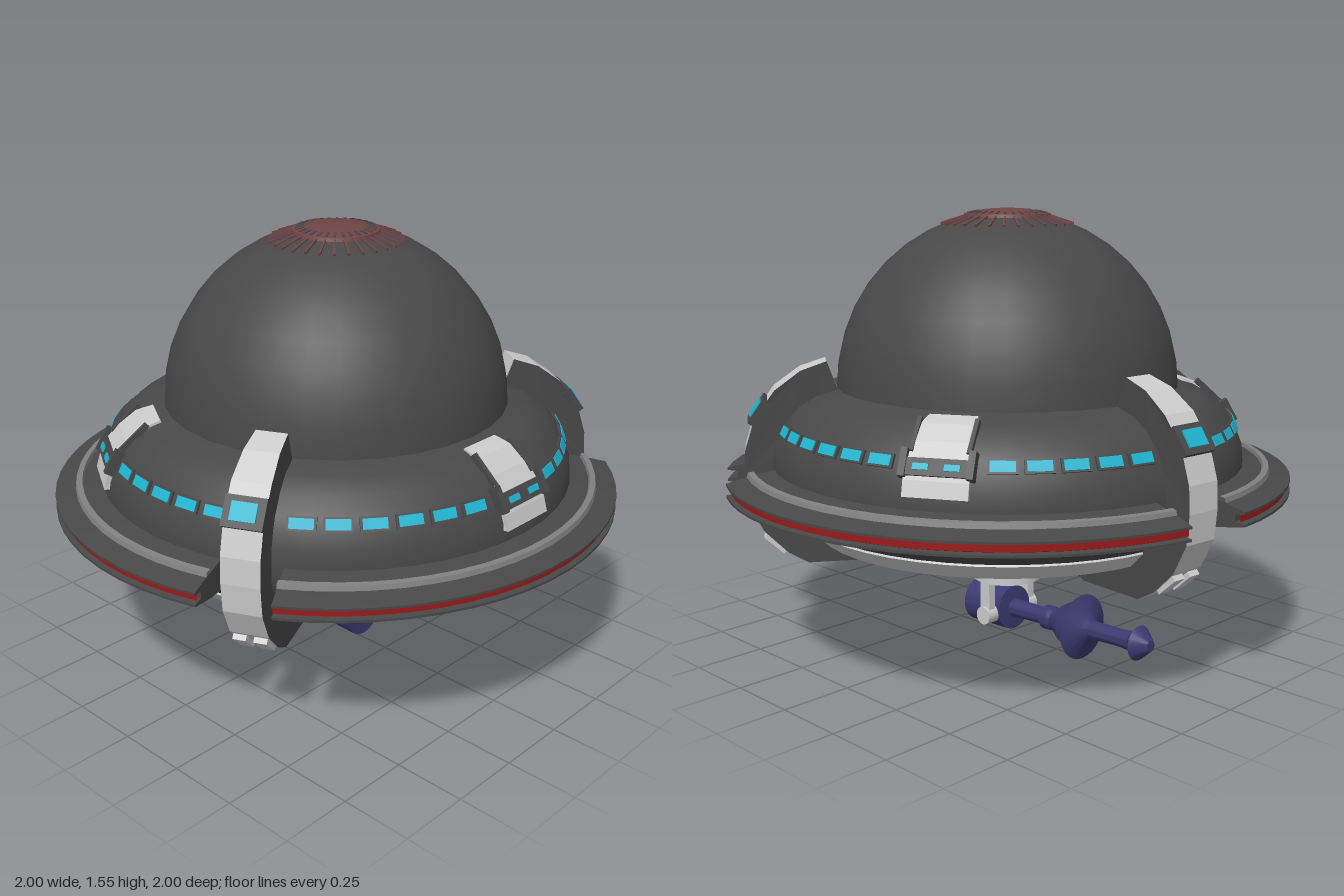
import * as THREE from 'three';
import { toCreasedNormals } from 'three/addons/utils/BufferGeometryUtils.js';

const rad = THREE.MathUtils.degToRad;
const paint = (color) => new THREE.MeshStandardMaterial({ color });
const light = paint(0xcccccc);
const dark = paint(0x484848);
const mid = paint(0x808080);
const cyan = paint(0x1fb5d0);
const red = paint(0x991a1a);
const rust = paint(0x6e4444);
const navy = paint(0x3c3a70);

const vec = (pts) => pts.map(([x, y]) => new THREE.Vector2(x, y));

function add(parent, name, geo, mat, x = 0, y = 0, z = 0) {
  const m = new THREE.Mesh(geo, mat);
  m.name = name;
  m.position.set(x, y, z);
  parent.add(m);
  return m;
}

// Lathe with sharp edges kept; angles are measured from +z towards +x
function lathe(pts, segs, start = 0, len = 360) {
  return toCreasedNormals(new THREE.LatheGeometry(vec(pts), segs, rad(start), rad(len)), 0.6);
}

// Group turned so that its +z points outwards at the given angle
function spoke(parent, name, angle) {
  const g = new THREE.Group();
  g.name = name;
  g.rotation.y = rad(angle);
  parent.add(g);
  return g;
}

// Box lying on the hull inside a spoke, tilted to face upwards
function plate(parent, name, [w, h, d], mat, r, y, tilt, x = 0) {
  const m = add(parent, name, new THREE.BoxGeometry(w, h, d), mat, x, y, r);
  m.rotation.x = -rad(tilt);
  return m;
}

// Side outline (radius, height) extruded across a spoke
function slab(parent, name, pts, width, mats, taper = (r, y) => 1) {
  const geo = new THREE.ExtrudeGeometry(new THREE.Shape(vec(pts)), { depth: width, bevelEnabled: false });
  geo.translate(0, 0, -width / 2);
  const p = geo.attributes.position;
  for (let i = 0; i < p.count; i++) p.setZ(i, p.getZ(i) * taper(p.getX(i), p.getY(i)));
  geo.rotateY(-Math.PI / 2);
  geo.computeVertexNormals();
  return add(parent, name, geo, mats);
}

function buildHull(g) {
  add(g, 'hull', lathe([[0.42, 0.5], [0.5, 0.49], [0.58, 0.46], [0.62, 0.44], [0.68, 0.44],
    [0.7, 0.46], [0.77, 0.53], [0.82, 0.58], [0.84, 0.63], [0.835, 0.7], [0.83, 0.75],
    [0.81, 0.8], [0.79, 0.84], [0.74, 0.895], [0.68, 0.93], [0.6, 0.952]], 48), dark);
  add(g, 'bellyDisc', lathe([[0, 0.5], [0.43, 0.5]], 48), mid);
  add(g, 'bellyBand', lathe([[0.66, 0.437], [0.69, 0.44], [0.745, 0.495], [0.735, 0.51]], 48), light);

  // Dome
  const dome = [];
  for (let i = 0; i <= 10; i++) {
    const a = (i / 10) * Math.PI / 2;
    dome.push([0.605 * Math.cos(a), 0.945 + 0.61 * Math.sin(a)]);
  }
  add(g, 'dome', new THREE.LatheGeometry(vec(dome), 32), dark);

  // Rust cap with radiating spikes
  add(g, 'domeCap', lathe([[0.155, 1.53], [0.15, 1.545], [0.08, 1.56], [0, 1.565]], 30), rust);
  for (let i = 0; i < 30; i++) {
    const s = spoke(g, 'capSpike', i * 12);
    plate(s, 'spike', [0.007, 0.1, 0.008], rust, 0.185, 1.526, 72);
    plate(s, 'capSlot', [0.008, 0.03, 0.004], dark, 0.125, 1.551, 78);
  }
}

// One of three rim segments, closed at both ends
function buildRim(g, start, len) {
  const rim = new THREE.Group();
  rim.name = 'rimSegment';
  g.add(rim);
  const profile = [[0.82, 0.585], [0.9, 0.585], [1, 0.602], [1, 0.61], [0.965, 0.614],
    [0.965, 0.638], [1, 0.642], [1, 0.65], [0.93, 0.668], [0.82, 0.69]];
  add(rim, 'rim', lathe(profile, 18, start, len), dark);
  add(rim, 'rimStripe', lathe([[0.975, 0.612], [0.985, 0.616], [0.985, 0.638], [0.975, 0.64]], 18, start, len), red);
  add(rim, 'rimUpperLip', lathe([[0.93, 0.666], [0.925, 0.684], [0.905, 0.686], [0.9, 0.67]], 18, start, len), mid);
  add(rim, 'rimLowerLip', lathe([[0.86, 0.58], [0.875, 0.575], [0.89, 0.59]], 18, start, len), light);
  const capMat = dark.clone();
  capMat.side = THREE.DoubleSide;
  for (const a of [start, start + len]) {
    const cap = add(rim, 'rimEnd', new THREE.ShapeGeometry(new THREE.Shape(vec(profile))), capMat);
    cap.rotation.y = rad(a - 90);
  }
}

// Large clamp arm wrapping the hull from dome to belly
function buildArm(g, angle) {
  const arm = spoke(g, 'clampArm', angle);
  slab(arm, 'armBody', [[0.6, 0.94], [0.64, 1.05], [0.73, 1.02], [0.82, 0.955], [0.89, 0.86],
    [0.925, 0.75], [0.93, 0.66], [0.92, 0.56], [0.87, 0.46], [0.79, 0.38], [0.72, 0.34],
    [0.47, 0.34], [0.4, 0.375], [0.45, 0.45], [0.66, 0.46], [0.77, 0.55], [0.82, 0.63],
    [0.81, 0.74], [0.76, 0.85], [0.68, 0.92]].reverse(), 0.13, [dark, light],
  (r, y) => (y > 0.7 ? THREE.MathUtils.clamp(0.8 + (r - 0.62), 0.8, 1) : 1));
  plate(arm, 'armWindowFrame', [0.135, 0.1, 0.03], dark, 0.873, 0.878, 35);
  plate(arm, 'armWindow', [0.085, 0.06, 0.03], cyan, 0.878, 0.882, 35);
  for (const s of [-1, 1]) plate(arm, 'armPad', [0.045, 0.09, 0.04], light, 0.825, 0.42, -48, s * 0.035);
}

// Small hatch set on the shoulder of the hull
function buildHatch(g, angle) {
  const hatch = spoke(g, 'hatch', angle);
  slab(hatch, 'hatchPanel', [[0.63, 0.93], [0.64, 0.948], [0.7, 0.932], [0.76, 0.888], [0.805, 0.835],
    [0.83, 0.78], [0.845, 0.73], [0.8, 0.725], [0.74, 0.84]].reverse(), 0.21, light,
  (r) => THREE.MathUtils.clamp(0.75 + (r - 0.64) * 1.4, 0.75, 1));
  plate(hatch, 'hatchBar', [0.23, 0.055, 0.03], dark, 0.808, 0.815, 27);
  for (const s of [-1, 1]) {
    plate(hatch, 'hatchRail', [0.022, 0.09, 0.04], dark, 0.803, 0.825, 30, s * 0.108);
    plate(hatch, 'hatchTopRail', [0.014, 0.13, 0.02], dark, 0.735, 0.9, 48, s * 0.092);
    plate(hatch, 'hatchLight', [0.05, 0.02, 0.03], cyan, 0.813, 0.817, 27, s * 0.05);
  }
}

function buildWindow(g, angle) {
  const w = spoke(g, 'window', angle);
  plate(w, 'windowFrame', [0.094, 0.046, 0.012], dark, 0.798, 0.824, 27);
  plate(w, 'windowPane', [0.078, 0.034, 0.014], cyan, 0.8, 0.825, 27);
}

function buildTurret(g) {
  const turret = new THREE.Group();
  turret.name = 'turret';
  g.add(turret);
  add(turret, 'turretPost', new THREE.CylinderGeometry(0.125, 0.125, 0.28, 32), light, 0, 0.37, 0);

  // Ribbed motor beside the post
  add(turret, 'motorBody', new THREE.CylinderGeometry(0.095, 0.095, 0.25, 24), light, -0.04, 0.38, 0.16);
  add(turret, 'motorCollar', new THREE.CylinderGeometry(0.118, 0.118, 0.055, 24), light, -0.04, 0.267, 0.17);
  for (let i = 0; i < 14; i++) {
    const a = (i / 14) * Math.PI * 2;
    const x = -0.04 + Math.sin(a) * 0.098;
    const rib = add(turret, 'motorRib', new THREE.BoxGeometry(0.022, 0.18, 0.022), light, x, 0.4, 0.16 + Math.cos(a) * 0.098);
    rib.rotation.y = a;
    const tooth = add(turret, 'collarTooth', new THREE.BoxGeometry(0.03, 0.065, 0.016), light,
      -0.04 + Math.sin(a) * 0.118, 0.267, 0.17 + Math.cos(a) * 0.118);
    tooth.rotation.y = a;
  }

  // Yoke holding the gun
  for (const s of [-1, 1]) {
    add(turret, 'yokeArm', new THREE.BoxGeometry(0.03, 0.15, 0.045), light, s * 0.1, 0.175, 0);
    const pivot = add(turret, 'yokePivot', new THREE.CylinderGeometry(0.033, 0.033, 0.05, 20), light, s * 0.1, 0.105, 0);
    pivot.rotation.z = Math.PI / 2;
  }

  // Gun pointing backwards, slightly raised
  const gun = add(turret, 'gun', lathe([[0, -0.14], [0.08, -0.145], [0.08, 0.035], [0.033, 0.04],
    [0.03, 0.19], [0.043, 0.2], [0.043, 0.23], [0.032, 0.24], [0.07, 0.3], [0.075, 0.31],
    [0.04, 0.325], [0.055, 0.34], [0.115, 0.37], [0.05, 0.4], [0.032, 0.415], [0.03, 0.55],
    [0.035, 0.6], [0.06, 0.625], [0.02, 0.675], [0, 0.677]], 28), navy, 0, 0.115, 0);
  gun.rotation.x = -rad(88.2);
}

export function createModel() {
  const g = new THREE.Group();
  g.name = 'saucer';
  buildHull(g);
  for (let i = 0; i < 3; i++) {
    const base = i * 120;
    buildArm(g, base + 55.5);
    buildRim(g, base + 55.5 + 7, 106);
    buildHatch(g, base);
    for (const a of [14, 22, 30, 38, 46, 66, 74, 82, 90, 98, 106]) buildWindow(g, base + a);
  }
  buildTurret(g);
  return g;
}
